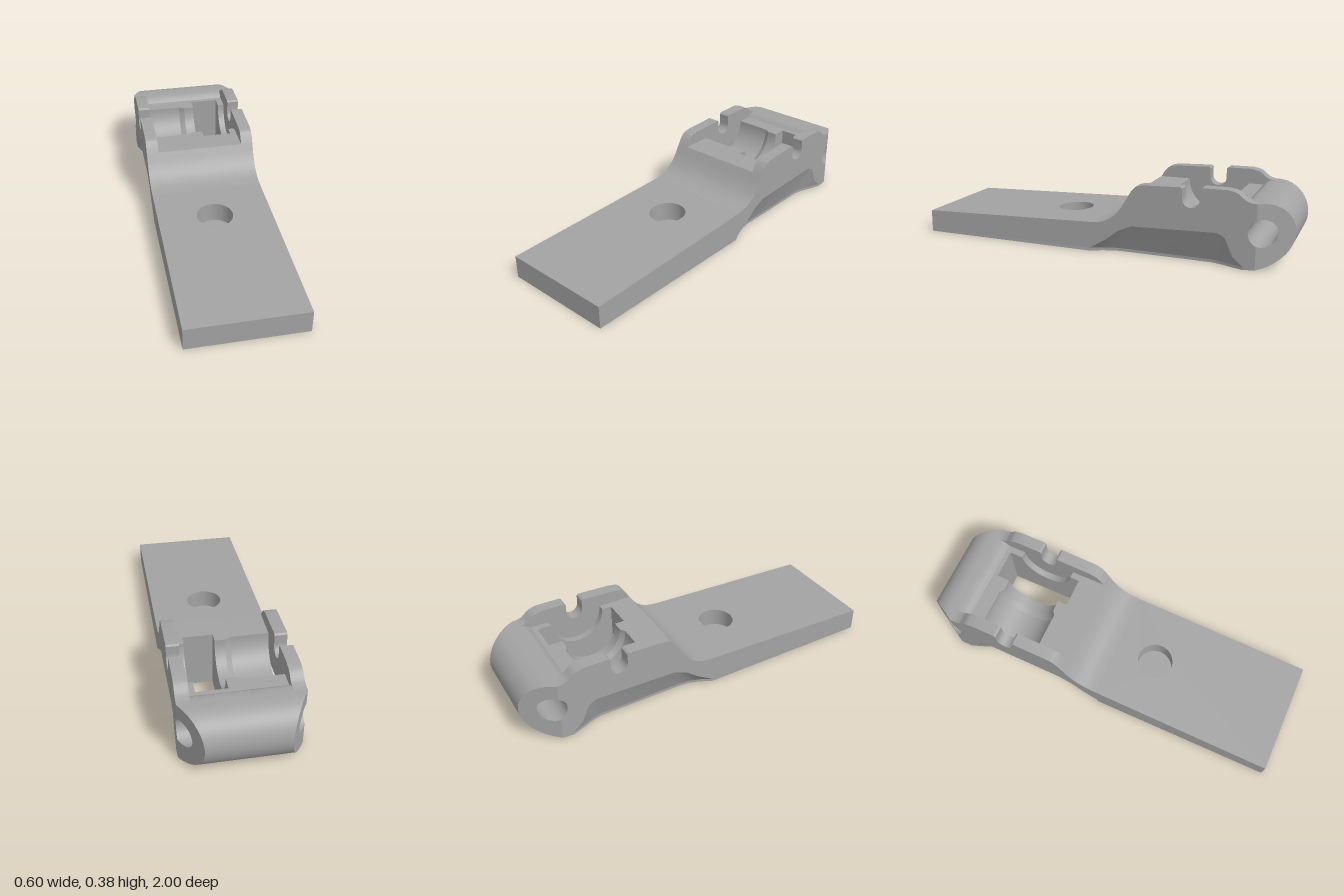
import * as THREE from 'three';
import { toCreasedNormals } from 'three/addons/utils/BufferGeometryUtils.js';

const grey = new THREE.MeshStandardMaterial({ color: 0xa3a3a3 });
grey.name = 'grey metal';

// Profiles use u = distance towards the back (-z) and v = height.
const HALF = 0.3, INNER = 0.235, FLOOR = 0.015, SPLIT = 0.83;
const PIN = [0.857, 0.185], PIN_R = 0.068;
const TROUGH = [0.51, 0.305];

const arc = ([cu, cv], ru, rv, a0, a1, n) =>
  Array.from({ length: n + 1 }, (_, i) => {
    const a = a0 + ((a1 - a0) * i) / n;
    return [cu + ru * Math.cos(a), cv + rv * Math.sin(a)];
  });
const toShape = (pts) => new THREE.Shape(pts.map((p) => new THREE.Vector2(...p)));
const smooth = (pts, n) =>
  new THREE.CatmullRomCurve3(pts.map(([a, b]) => new THREE.Vector3(a, b, 0)), false, 'centripetal')
    .getPoints(n).map((p) => [p.x, p.y]);

// Moves vertices by a rule
function reshape(geo, rule) {
  const p = geo.attributes.position;
  const v = new THREE.Vector3();
  for (let i = 0; i < p.count; i++) {
    v.fromBufferAttribute(p, i);
    rule(v);
    p.setXYZ(i, v.x, v.y, v.z);
  }
  return geo;
}

export function createModel() {
  const group = new THREE.Group();
  const add = (name, geo) => {
    const mesh = new THREE.Mesh(toCreasedNormals(geo, 0.6), grey);
    mesh.name = name;
    group.add(mesh);
  };
  // Side profile extruded across x
  const prism = (pts, x0, x1) =>
    new THREE.ExtrudeGeometry(toShape(pts), { depth: x1 - x0, bevelEnabled: false })
      .rotateY(Math.PI / 2).translate(x0, 0, 0);
  // Plan outline (x, u) extruded upwards
  const slab = (pts, holes, y0, y1) => {
    const shape = toShape(pts);
    holes.forEach((h) => shape.holes.push(new THREE.Path(h.map((p) => new THREE.Vector2(...p)))));
    return new THREE.ExtrudeGeometry(shape, { depth: y1 - y0, bevelEnabled: false })
      .rotateX(-Math.PI / 2).translate(0, y0, 0);
  };

  // Lower side relief: upper edge (u, v) and lower edge (u, x)
  const reliefTop = [[-0.03, FLOOR], [0.06, 0.07], [0.13, 0.125], [0.2, 0.155], [0.64, 0.17], [0.68, 0.15], [0.72, 0.06], [0.77, FLOOR]];
  const reliefFoot = [[-0.03, HALF], [0.03, 0.27], [0.09, 0.25], [0.14, 0.245], [0.6, 0.245], [0.65, 0.255], [0.7, 0.275], [0.77, HALF]];

  // Bottom skin with window opening and shallow arrow recess
  const footRight = reliefFoot.map(([u, x]) => [x, u]);
  const footLeft = footRight.map(([x, u]) => [-x, u]).reverse();
  const windowHole = [[0.045, 0.31], [0.2, 0.31], [0.2, 0.73], [0.045, 0.73]];
  const arrow = [[0.025, 0.19], [-0.025, 0.19], [-0.025, 0], [-0.08, 0], [0, -0.1], [0.08, 0], [0.025, 0]];
  add('bottomSkin', slab([[-HALF, -1], [HALF, -1], ...footRight, ...footLeft], [windowHole, arrow], 0, FLOOR));

  // Flat plate with a blind round hole and a gently sloping top
  const plate = [[-HALF, -1], [HALF, -1], [HALF, -0.03], [-HALF, -0.03]];
  add('plateBase', slab(plate, [], FLOOR, 0.045));
  const roundHole = arc([0, -0.24], 0.095, 0.095, 0, Math.PI * 2, 48).slice(0, -1);
  add('plateTop', reshape(slab(plate, [roundHole], 0.045, 0.15), (v) => {
    if (v.y > 0.1) v.y = 0.12 + (1 - v.z) * 0.036;
  }));

  // Shared profile pieces
  const ramp = smooth([[-0.03, 0.155], [0, 0.157], [0.05, 0.167], [0.1, 0.195], [0.14, 0.239], [0.18, 0.305]], 20);
  const cut = Math.acos((PIN[0] - SPLIT) / PIN_R);
  const pinFront = arc(PIN, PIN_R, PIN_R, Math.PI - cut, Math.PI + cut, 16);
  const rearEdge = [[SPLIT, 0.33], ...pinFront, [SPLIT, 0.005], [0.77, 0]];

  // Tall side walls with pin notches
  const wall = [
    ...ramp,
    ...smooth([[0.2, 0.338], [0.225, 0.362], [0.27, 0.372]], 8),
    [0.453, 0.379], [0.462, 0.372],
    ...arc([0.507, 0.325], 0.045, 0.045, Math.PI, Math.PI * 2, 16),
    [0.552, 0.376], [0.562, 0.384],
    ...smooth([[0.69, 0.385], [0.735, 0.373], [0.775, 0.342], [0.805, 0.331]], 14),
    ...rearEdge,
    ...reliefTop.slice().reverse(),
  ];
  add('leftWall', prism(wall, INNER, HALF));
  add('rightWall', prism(wall, -HALF, -INNER));

  // Sloping relief faces under the walls
  for (const side of [1, -1]) {
    const pos = [];
    const top = (i) => [side * HALF, reliefTop[i][1], -reliefTop[i][0]];
    const foot = (i) => [side * reliefFoot[i][1], FLOOR, -reliefFoot[i][0]];
    for (let i = 0; i < reliefTop.length - 1; i++) {
      const tris = [[top(i), foot(i), top(i + 1)], [top(i + 1), foot(i), foot(i + 1)]];
      for (const t of tris) pos.push(...(side > 0 ? t : t.reverse()).flat());
    }
    const geo = new THREE.BufferGeometry();
    geo.setAttribute('position', new THREE.Float32BufferAttribute(pos, 3));
    add(side > 0 ? 'leftRelief' : 'rightRelief', geo);
  }

  // Core between the walls, sliced across x, with a stepped trough
  const shelfEnd = [[0.755, 0.305], [0.775, 0.323], [0.79, 0.33]];
  const core = (r) => [
    ...ramp, ...arc(TROUGH, r, r, Math.PI, Math.PI * 2, 32),
    ...shelfEnd, ...rearEdge, [0.77, FLOOR], [-0.03, FLOOR],
  ];
  const WIDE = 0.165, NARROW = 0.148;
  add('wideTrough', prism(core(WIDE), -INNER, -0.04));
  add('troughTaper', reshape(prism(core(WIDE), -0.04, -0.01), (v) => {
    const du = -v.z - TROUGH[0], dv = v.y - TROUGH[1];
    if (v.x > -0.02 && Math.abs(Math.hypot(du, dv) - WIDE) < 0.001) {
      v.z = -(TROUGH[0] + (du * NARROW) / WIDE);
      v.y = TROUGH[1] + (dv * NARROW) / WIDE;
    }
  }));
  add('narrowTrough', prism(core(NARROW), -0.01, 0.045));
  add('troughEnd', prism(core(NARROW), 0.2, INNER));
  add('windowFront', prism([...ramp, [0.31, 0.305], [0.31, FLOOR], [-0.03, FLOOR]], 0.045, 0.2));
  add('windowRear', prism([[0.73, 0.305], ...shelfEnd, ...rearEdge, [0.77, FLOOR], [0.73, FLOOR]], 0.045, 0.2));

  // Rounded hinge end with pin bore and chamfered corners
  const hinge = [
    [SPLIT, 0.33],
    ...arc(PIN, 0.143, 0.145, Math.PI / 2, 0, 20),
    ...arc([0.78, 0.185], 0.22, 0.185, -0.06, -Math.acos(0.05 / 0.22), 20),
    ...arc(PIN, PIN_R, PIN_R, cut - Math.PI, Math.PI - cut, 32),
  ];
  add('hingeEnd', reshape(prism(hinge, -HALF, HALF), (v) => {
    v.x = Math.sign(v.x) * (HALF - ((-v.z - SPLIT) * 0.1) / 0.17);
  }));

  return group;
}
